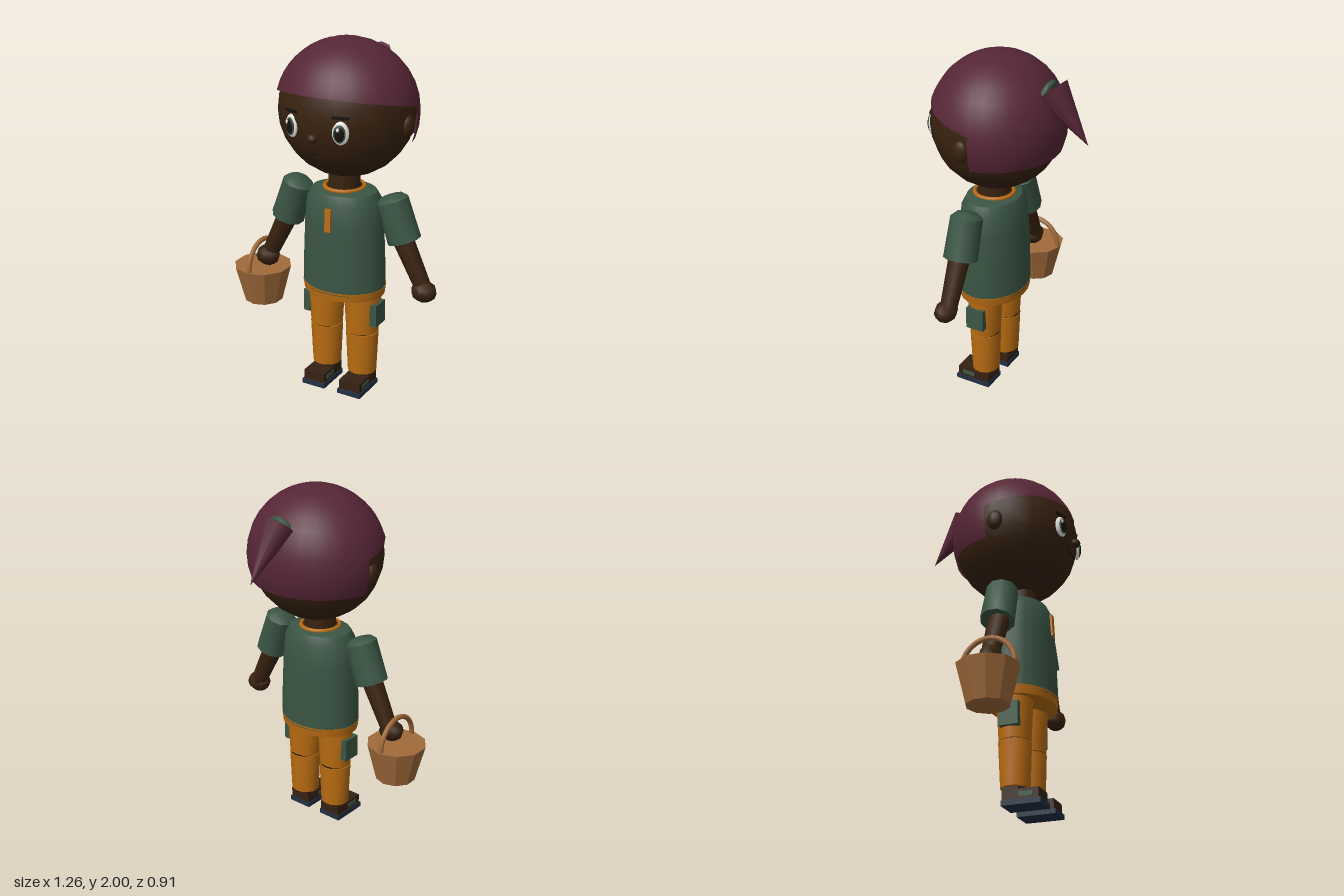
import * as THREE from 'three';
import { toCreasedNormals } from 'three/addons/utils/BufferGeometryUtils.js';

const mat = (name, color, side = THREE.FrontSide) => {
  const m = new THREE.MeshStandardMaterial({ color, side });
  m.name = name;
  return m;
};

const V = (x, y) => new THREE.Vector2(x, y);
const crease = (geo) => toCreasedNormals(geo, 0.7);
const ball = (rx, ry, rz, w = 16, h = 12) => new THREE.SphereGeometry(1, w, h).scale(rx, ry, rz);
const tube = (rTop, rBottom, h, sides = 16) => new THREE.CylinderGeometry(rTop, rBottom, h, sides);
const box = (w, h, d) => new THREE.BoxGeometry(w, h, d);

// Hair shell: a slice of an ellipsoid whose lower rim is set by polar(azimuth)
const HAIR = { x: 0.393, y: 0.385, z: 0.365 };
function hairShell(start, length, polar) {
  const geo = new THREE.SphereGeometry(1, 14, 10, start, length, 0, Math.PI / 2);
  const { position: p, normal: n, uv } = geo.attributes;
  for (let i = 0; i < p.count; i++) {
    const a = start + uv.getX(i) * length;
    const t = (1 - uv.getY(i)) * polar(a);
    const d = new THREE.Vector3(-Math.cos(a) * Math.sin(t), Math.cos(t), Math.sin(a) * Math.sin(t));
    p.setXYZ(i, d.x * HAIR.x, d.y * HAIR.y, d.z * HAIR.z);
    d.set(d.x / HAIR.x, d.y / HAIR.y, d.z / HAIR.z).normalize();
    n.setXYZ(i, d.x, d.y, d.z);
  }
  return geo;
}

export function createModel() {
  const skin = mat('skin', 0x38220f);
  const hair = mat('hair', 0x562636, THREE.DoubleSide);
  const green = mat('green cloth', 0x3a5544);
  const orange = mat('orange cloth', 0xb96c12);
  const wood = mat('basket wood', 0xa06a3a);
  const brown = mat('shoe brown', 0x352112);
  const navy = mat('sole navy', 0x222f42);
  const white = mat('eye white', 0xe8e8e4);
  const black = mat('black', 0x14100c);

  const model = new THREE.Group();
  const figure = new THREE.Group();
  figure.name = 'figure';
  figure.position.x = 0.057;
  model.add(figure);
  const add = (name, geo, material, x, y, z, parent = figure) => {
    const mesh = new THREE.Mesh(geo, material);
    mesh.name = name;
    mesh.position.set(x, y, z);
    parent.add(mesh);
    return mesh;
  };

  // Head and neck
  add('head', ball(0.372, 0.37, 0.357, 20, 14), skin, 0, 1.625, 0.07);
  add('neck', tube(0.085, 0.09, 0.16), skin, 0, 1.22, 0.1);

  // Hair: fringe cut along a sloping plane, back cut level
  const fringe = (a) => {
    const b = 0.22 * HAIR.z * Math.sin(a);
    return Math.acos(0.064 / Math.hypot(HAIR.y, b)) - Math.atan2(b, HAIR.y);
  };
  add('hairFringe', hairShell(-0.11, Math.PI + 0.22, fringe), hair, 0, 1.615, 0.07);
  add('hairBack', hairShell(Math.PI + 0.11, Math.PI - 0.22, () => Math.acos(-0.14 / HAIR.y)), hair, 0, 1.615, 0.07);

  // Pointed tail with its tie
  const tail = add('hairTail', crease(new THREE.ConeGeometry(0.092, 0.34, 10)), hair, 0, 1.712, -0.349);
  tail.quaternion.setFromUnitVectors(new THREE.Vector3(0, 1, 0), new THREE.Vector3(0, -0.78, -0.626).normalize());
  const tie = add('hairTie', new THREE.TorusGeometry(0.06, 0.017, 8, 16), green, 0, 1.82, -0.218);
  tie.rotation.x = -0.35;

  // Face
  add('nose', ball(0.03, 0.026, 0.028, 10, 8), skin, 0, 1.545, 0.432);
  const smile = new THREE.QuadraticBezierCurve3(
    new THREE.Vector3(-0.05, 1.48, 0.392),
    new THREE.Vector3(0, 1.448, 0.418),
    new THREE.Vector3(0.05, 1.48, 0.392));
  add('mouth', new THREE.TubeGeometry(smile, 10, 0.005, 6), black, 0, 0, 0.008);
  for (const s of [-1, 1]) {
    const eye = new THREE.Group();
    eye.name = 'eye';
    eye.position.set(s * 0.143, 1.585, 0.394);
    eye.rotation.y = s * 0.36;
    figure.add(eye);
    add('eyeWhite', ball(0.044, 0.062, 0.018), white, 0, 0, 0, eye);
    add('iris', ball(0.032, 0.047, 0.008), green, -s * 0.004, 0, 0.014, eye);
    add('pupil', ball(0.026, 0.039, 0.008), black, -s * 0.004, 0, 0.017, eye);
    add('eyeGlint', ball(0.009, 0.012, 0.005, 8, 6), white, -0.012, 0.022, 0.022, eye);
    const brow = add('eyebrow', box(0.088, 0.014, 0.016), black, 0, 0.078, -0.004, eye);
    brow.rotation.z = -s * 0.05;
    add('ear', ball(0.03, 0.06, 0.045, 12, 10), skin, s * 0.365, 1.575, 0.082);
  }

  // Shirt
  const shirt = new THREE.LatheGeometry(
    [V(0, 0.62), V(0.24, 0.62), V(0.24, 0.72), V(0.228, 1.0), V(0.215, 1.13), V(0.185, 1.18), V(0.12, 1.195), V(0, 1.195)], 24);
  add('shirt', crease(shirt.scale(1, 1, 0.79)), green, 0, 0, 0.1);
  add('shirtHem', crease(tube(0.243, 0.236, 0.05, 24).scale(1, 1, 0.785)), orange, 0, 0.61, 0.1);
  add('collar', new THREE.TorusGeometry(0.108, 0.012, 8, 24).rotateX(Math.PI / 2), orange, 0, 1.195, 0.1);
  add('neckBase', tube(0.1, 0.1, 0.008, 20), skin, 0, 1.197, 0.1);
  const placket = add('placket', box(0.036, 0.13, 0.012), orange, 0, 1.05, 0.281);
  placket.rotation.x = -0.04;

  for (const s of [-1, 1]) {
    // Arms
    const sleeve = new THREE.LatheGeometry(
      [V(0, -0.115), V(0.094, -0.115), V(0.088, 0.113), V(0.06, 0.138), V(0, 0.145)], 10);
    add('sleeve', crease(sleeve), green, s * 0.329, 1.057, 0.1).rotation.z = s * 0.33;
    const forearm = add('forearm', tube(0.06, 0.046, 0.33, 10), skin, s * 0.425, 0.828, 0.108);
    forearm.rotation.z = s * 0.46;
    add('hand', ball(0.074, 0.06, 0.062, 8, 6), skin, s * 0.497, 0.685, 0.118);

    // Trouser legs with a seam at the knee
    const legX = s * 0.115;
    add('upperLeg', crease(tube(0.108, 0.093, 0.253, 16).scale(1, 1, 0.92)), orange, legX, 0.4815, 0.1);
    add('lowerLeg', crease(tube(0.094, 0.083, 0.25, 16).scale(1, 1, 0.94)), orange, legX, 0.226, 0.1);
    add('kneeSeam', tube(0.085, 0.085, 0.01, 16), black, legX, 0.353, 0.098);
    add('pocket', box(0.04, 0.13, 0.108), green, s * 0.212, 0.48, 0.105);

    // Shoes
    add('ankle', tube(0.06, 0.062, 0.06, 12), brown, legX, 0.09, 0.1);
    add('sole', box(0.144, 0.028, 0.215), navy, legX, 0.014, 0.153);
    add('shoe', box(0.13, 0.055, 0.2), brown, legX, 0.0555, 0.15);
    add('shoeHeel', box(0.12, 0.03, 0.09), brown, legX, 0.085, 0.092);
    for (const e of [-1, 1]) {
      add('shoePatch', box(0.008, 0.026, 0.075), green, legX + e * 0.065, 0.054, 0.182);
    }
  }

  // Basket held in the right hand
  add('basket', crease(new THREE.CylinderGeometry(0.167, 0.112, 0.215, 10).toNonIndexed()), wood, -0.478, 0.513, 0.118, model)
    .geometry.computeVertexNormals();
  const handle = new THREE.TorusGeometry(0.145, 0.014, 8, 20, Math.PI);
  add('basketHandle', handle.rotateY(Math.PI / 2).scale(1, 1.05, 1), wood, -0.478, 0.62, 0.118, model);

  return model;
}
